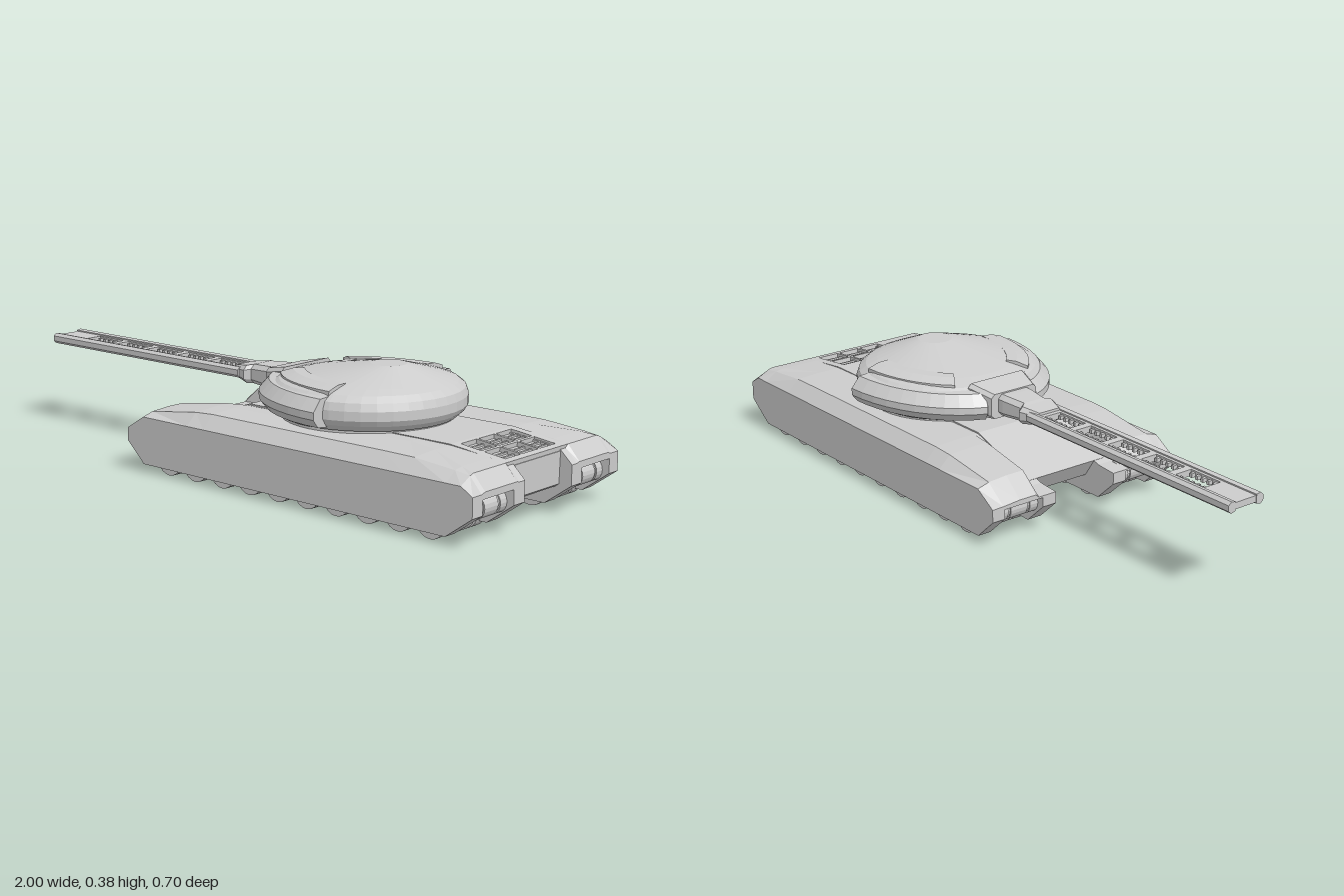
import * as THREE from 'three';

const grey = new THREE.MeshStandardMaterial({ color: 0xcccccc });
grey.name = 'armour grey';
const V = (x, y, z) => new THREE.Vector3(x, y, z);
const points2 = (list) => list.map(([x, y]) => new THREE.Vector2(x, y));

// Closed skin over matching rings, capped at both ends using the ring's 2D outline
function skin(rings, outline) {
  const pos = [];
  const tri = (...pts) => pts.forEach((p) => pos.push(p.x, p.y, p.z));
  for (let s = 0; s < rings.length - 1; s++) {
    const A = rings[s], B = rings[s + 1];
    for (let i = 0; i < A.length; i++) {
      const j = (i + 1) % A.length;
      tri(A[i], B[i], A[j]);
      tri(A[j], B[i], B[j]);
    }
  }
  const first = rings[0], last = rings[rings.length - 1];
  for (const [a, b, c] of THREE.ShapeUtils.triangulateShape(points2(outline), [])) {
    tri(first[a], first[b], first[c]);
    tri(last[a], last[c], last[b]);
  }
  const g = new THREE.BufferGeometry();
  g.setAttribute('position', new THREE.Float32BufferAttribute(pos, 3));
  g.computeVertexNormals();
  return g;
}

// Loft along x: each station is [x, [[z, y], ...]]
const loftX = (stations) =>
  skin(stations.map(([x, pts]) => pts.map(([z, y]) => V(x, y, z))), stations[0][1]);

// Mirrored copy across z = 0, with the corner order kept facing outward
function mirrorZ(geo) {
  const p = geo.getAttribute('position'), out = [];
  for (let i = 0; i < p.count; i += 3)
    for (const k of [i, i + 2, i + 1]) out.push(p.getX(k), p.getY(k), -p.getZ(k));
  const g = new THREE.BufferGeometry();
  g.setAttribute('position', new THREE.Float32BufferAttribute(out, 3));
  g.computeVertexNormals();
  return g;
}

function faceted(geo) {
  const g = geo.toNonIndexed();
  g.computeVertexNormals();
  return g;
}

// Cut-corner rectangle section in (z, y)
function octagon(hz, y0, y1, c) {
  return [[-hz + c, y0], [hz - c, y0], [hz, y0 + c], [hz, y1 - c], [hz - c, y1], [-hz + c, y1], [-hz, y1 - c], [-hz, y0 + c]];
}

// Rectangle as a shape or hole, and a flat plate whose top lies at y = 0
const rect = (Type, x0, x1, z0, z1) => new Type(points2([[x0, z0], [x1, z0], [x1, z1], [x0, z1]]));
const plate = (shape, depth) =>
  new THREE.ExtrudeGeometry(shape, { depth, bevelEnabled: false }).rotateX(Math.PI / 2);

export function createModel() {
  const tank = new THREE.Group();
  tank.name = 'tank';
  const add = (name, geo, x = 0, y = 0, z = 0, parent = tank) => {
    const m = new THREE.Mesh(geo, grey);
    m.name = name;
    m.position.set(x, y, z);
    parent.add(m);
  };
  const box = (name, w, h, d, x, y, z, parent) => add(name, new THREE.BoxGeometry(w, h, d), x, y, z, parent);
  const pair = (name, geo) => {
    add('left' + name, geo);
    add('right' + name, mirrorZ(geo));
  };

  // Centre hull with sloping front plate; the rear is stepped down for the engine deck
  const side = new THREE.Shape(points2([
    [-0.2, 0.08], [0.945, 0.08], [0.958, 0.09], [0.96, 0.186], [0.77, 0.208], [0.77, 0.222], [0, 0.222], [-0.24, 0.14],
  ]));
  add('hull', new THREE.ExtrudeGeometry(side, { depth: 0.3, bevelEnabled: false }), 0, 0, -0.15);

  // Engine deck with six recessed, louvred openings
  const deck = new THREE.Group();
  deck.name = 'engineDeck';
  deck.position.set(0.77, 0.222, 0);
  deck.rotation.z = -0.115;
  tank.add(deck);
  const deckShape = rect(THREE.Shape, 0, 0.191, -0.15, 0.15);
  for (const x of [0.014, 0.096])
    for (const z of [-0.12, -0.037, 0.046]) {
      deckShape.holes.push(rect(THREE.Path, x, x + 0.072, z, z + 0.074));
      for (const k of [0.024, 0.048]) box('louvre', 0.006, 0.006, 0.074, x + k, -0.01, z + 0.037, deck);
    }
  add('engineDeckPlate', plate(deckShape, 0.015), 0, 0, 0, deck);

  // Track pods: channel section open underneath
  // x, wall bottom, channel roof, outer shoulder, top, ridge z, inner top z, inner step
  pair('TrackPod', loftX([
    [-0.33, 0.09, 0.12, 0.13, 0.136, 0.25, 0.19, 0.126],
    [-0.26, 0.025, 0.125, 0.174, 0.19, 0.245, 0.182, 0.132],
    [-0.07, 0.025, 0.13, 0.174, 0.216, 0.22, 0.17, 0.197],
    [0, 0.025, 0.13, 0.174, 0.22, 0.215, 0.165, 0.218],
    [0.66, 0.025, 0.13, 0.174, 0.22, 0.19, 0.15, 0.215],
    [0.77, 0.025, 0.13, 0.174, 0.219, 0.22, 0.15, 0.212],
    [0.91, 0.025, 0.132, 0.174, 0.207, 0.28, 0.15, 0.2],
    [0.96, 0.061, 0.134, 0.174, 0.2, 0.295, 0.15, 0.19],
    [1.0, 0.09, 0.135, 0.15, 0.155, 0.295, 0.15, 0.152],
  ].map(([x, b, r, s, t, zr, zi, i]) => [x, [
    [0.113, b], [0.163, b], [0.163, r], [0.305, r], [0.305, b], [0.35, b],
    [0.35, s], [0.31, Math.max(t - 0.005, s)], [zr, t], [zi, t], [zi - 0.012, i], [0.113, i],
  ]])));

  // Grooved road wheels and the small raised rollers at both ends
  const roller = (r, w, groove) => {
    const h = w / 2, a = w * 0.22, b = w * 0.29;
    const pts = [[0, -h], [r, -h], [r, -b], [groove, -b], [groove, -a], [r, -a], [r, a], [groove, a], [groove, b], [r, b], [r, h], [0, h]];
    return faceted(new THREE.LatheGeometry(points2(pts), 20).rotateX(Math.PI / 2));
  };
  const wheel = roller(0.05, 0.188, 0.04), endRoller = roller(0.036, 0.14, 0.032);
  for (const z of [0.234, -0.234]) {
    for (let i = 0; i < 10; i++) add('roadWheel', wheel, -0.17 + i * 0.1125, 0.05, z);
    for (const x of [-0.272, 0.942]) add('endRoller', endRoller, x, 0.097, z);
  }

  // Turret: collar and a domed disc with its crown set toward the back
  add('turretCollar', faceted(new THREE.CylinderGeometry(0.263, 0.263, 0.035, 40)), 0.345, 0.216, 0);
  const rings = [
    [0.227, 0.27, 0.345], [0.245, 0.29, 0.345], [0.262, 0.3, 0.345], [0.29, 0.3, 0.345],
    [0.313, 0.292, 0.345], [0.33, 0.268, 0.348], [0.343, 0.225, 0.36], [0.385, 0.055, 0.425],
  ].map(([y, r, cx]) => Array.from({ length: 40 }, (_, i) => {
    const a = (i / 40) * Math.PI * 2;
    return V(Math.max(cx + r * Math.cos(a), 0.08), y, r * Math.sin(a));
  }));
  add('turret', skin(rings, rings[7].map((p) => [p.x, p.z])));

  // Curved plates swept around the turret front; section is [offset, y]
  const arcPlate = (section, a0, a1, n) => skin(Array.from({ length: n + 1 }, (_, i) => {
    const a = THREE.MathUtils.degToRad(a0 + ((a1 - a0) * i) / n);
    return section.map(([d, y]) => V(0.42 - Math.cos(a) * (0.42 + d), y, Math.sin(a) * (0.33 + d)));
  }), section);
  pair('CheekArmour', arcPlate([[-0.07, 0.235], [-0.02, 0.24], [0, 0.265], [0, 0.287], [-0.03, 0.322], [-0.07, 0.325]], 17, 90, 10));
  pair('RoofPlate', arcPlate([[-0.14, 0.325], [-0.066, 0.31], [-0.066, 0.339], [-0.105, 0.351], [-0.14, 0.352]], 33, 90, 8));

  // Gun mount block and tapering mantlet
  add('gunMount', loftX([[0.012, octagon(0.088, 0.245, 0.325, 0.012)], [0.1, octagon(0.112, 0.24, 0.342, 0.012)]]));
  add('mantlet', loftX([
    [-0.16, octagon(0.048, 0.268, 0.306, 0.01)],
    [-0.1, octagon(0.07, 0.258, 0.314, 0.014)],
    [-0.085, octagon(0.052, 0.256, 0.317, 0.014)],
    [-0.01, octagon(0.062, 0.252, 0.321, 0.014)],
    [0.03, octagon(0.062, 0.252, 0.321, 0.014)],
  ]));

  // Barrel: slotted bed between two long rails
  const bed = rect(THREE.Shape, -0.998, -0.14, -0.045, 0.045);
  for (let i = 0; i < 5; i++) {
    const x = -0.87 + i * 0.144;
    bed.holes.push(rect(THREE.Path, x, x + 0.118, -0.03, 0.03));
    for (let k = 0; k < 5; k++)
      for (const z of [-0.023, 0.023]) box('slotTooth', 0.01, 0.012, 0.015, x + 0.013 + k * 0.023, 0.287, z);
  }
  add('barrelBed', plate(bed, 0.02), 0, 0.298, 0);
  const rail = [[0.04, 0.274], [0.055, 0.27], [0.066, 0.279], [0.066, 0.296], [0.055, 0.305], [0.04, 0.302]];
  pair('BarrelRail', loftX([[-1, rail], [-0.13, rail]]));

  return tank;
}
